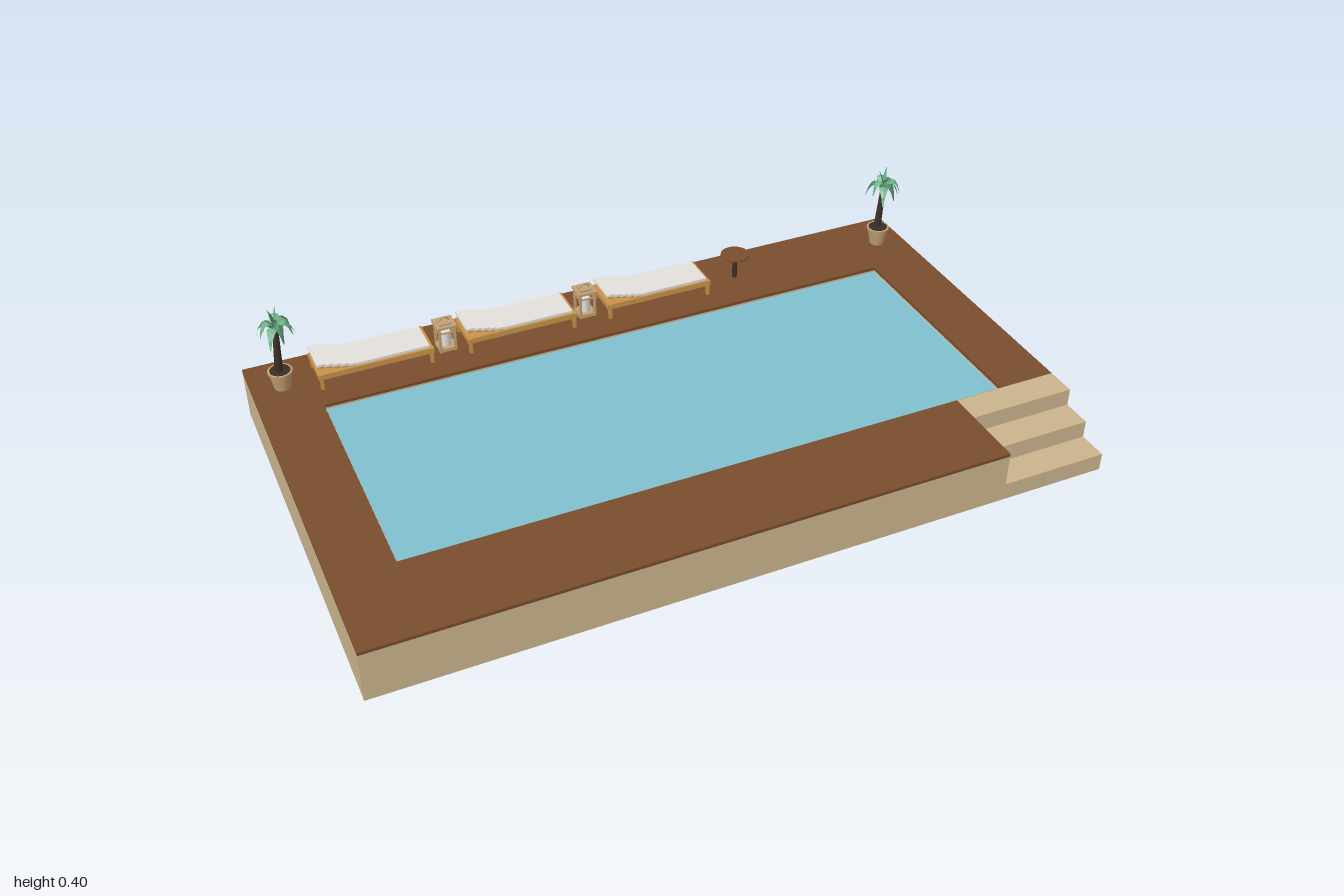
import * as THREE from 'three';

const mat = (name, color, extra = {}) => Object.assign(new THREE.MeshStandardMaterial({ color, ...extra }), { name });
const M = {
  stone: mat('sandstone', 0xcbb48d),
  deck: mat('deck brown', 0x794d2d),
  water: mat('pool water', 0x80bfcf),
  liner: mat('pool liner', 0xc0e0e6),
  wood: mat('honey wood', 0xc8924a),
  tan: mat('pale tan', 0xc2a076),
  cushion: mat('cushion white', 0xe3dfdb),
  dark: mat('dark brown', 0x3a2f27),
  leaf: mat('leaf green', 0x6cb088, { side: THREE.DoubleSide }),
  leafDark: mat('dark leaf green', 0x4c8562, { side: THREE.DoubleSide }),
};
M.leaf.flatShading = M.leafDark.flatShading = true;

function add(parent, name, geometry, material, x = 0, y = 0, z = 0) {
  const mesh = new THREE.Mesh(geometry, material);
  mesh.name = name;
  mesh.position.set(x, y, z);
  parent.add(mesh);
  return mesh;
}
const box = (parent, name, material, w, h, d, x, y, z) =>
  add(parent, name, new THREE.BoxGeometry(w, h, d), material, x, y, z);
const group = (parent, name, x, y, z) => {
  const g = new THREE.Group();
  g.name = name;
  g.position.set(x, y, z);
  parent.add(g);
  return g;
};

const TOP = 0.15, HALF = 0.583, STEP_X = 0.698, STEP_Z = 0.334, POOL_X = 0.836, POOL_Z = 0.3335;

// Flat slab with the pool opening and the notch for the stairs
function slab(depth) {
  const outline = [[-1, -HALF], [1, -HALF], [1, STEP_Z], [STEP_X, STEP_Z], [STEP_X, HALF], [-1, HALF]];
  const hole = [[-POOL_X, -POOL_Z], [-POOL_X, POOL_Z], [POOL_X, POOL_Z], [POOL_X, -POOL_Z]];
  const shape = new THREE.Shape(outline.map(p => new THREE.Vector2(...p)));
  shape.holes.push(new THREE.Path(hole.map(p => new THREE.Vector2(...p))));
  return new THREE.ExtrudeGeometry(shape, { depth, bevelEnabled: false }).rotateX(Math.PI / 2);
}

// Sun lounger with its head towards -x
function lounger(parent, x) {
  const g = group(parent, 'lounger', x, TOP, -0.462);
  for (const s of [-1, 1]) {
    box(g, 'sideRail', M.wood, 0.322, 0.016, 0.007, 0, 0.038, s * 0.055);
    box(g, 'endRail', M.wood, 0.009, 0.014, 0.11, s * 0.1555, 0.038, 0);
    for (const e of [-1, 1]) box(g, 'leg', M.wood, 0.009, 0.046, 0.009, e * 0.153, 0.023, s * 0.056);
  }
  box(g, 'slatBed', M.wood, 0.306, 0.006, 0.104, 0, 0.041, 0);
  box(g, 'mattress', M.cushion, 0.205, 0.009, 0.102, 0.048, 0.0485, 0);
  // Stepped planks of the raised backrest
  for (let i = 0; i < 5; i++)
    box(g, 'backrestPad', M.cushion, 0.024, 0.007, 0.102, -0.066 - i * 0.0205, 0.051 + i * 0.0049, 0);
  for (const s of [-1, 1]) {
    const rail = box(g, 'backrestRail', M.wood, 0.108, 0.005, 0.006, -0.104, 0.054, s * 0.046);
    rail.rotation.z = -0.22;
  }
}

// Wooden lantern with a candle and a carrying handle
function lantern(parent, x) {
  const g = group(parent, 'lantern', x, TOP, -0.46);
  box(g, 'lanternBase', M.tan, 0.05, 0.01, 0.05, 0, 0.006, 0);
  box(g, 'lanternRoof', M.tan, 0.056, 0.007, 0.056, 0, 0.079, 0);
  box(g, 'lanternCap', M.tan, 0.036, 0.005, 0.036, 0, 0.085, 0);
  for (const a of [-1, 1]) for (const b of [-1, 1])
    box(g, 'lanternPost', M.tan, 0.007, 0.076, 0.007, a * 0.0215, 0.038, b * 0.0215);
  for (const a of [-1, 1]) {
    box(g, 'frontBar', M.tan, 0.04, 0.004, 0.004, 0, 0.06, a * 0.0215);
    box(g, 'sideBar', M.tan, 0.004, 0.004, 0.04, a * 0.0215, 0.06, 0);
  }
  add(g, 'candle', new THREE.CylinderGeometry(0.014, 0.014, 0.045, 16), M.cushion, 0, 0.033, 0);
  add(g, 'handle', new THREE.TorusGeometry(0.013, 0.0025, 6, 12, Math.PI), M.tan, 0, 0.086, 0);
}

// One folded frond along a curve in the (radius, height) plane
function frond(mid, tip, width) {
  const curve = new THREE.QuadraticBezierCurve(new THREE.Vector2(0, 0), new THREE.Vector2(...mid), new THREE.Vector2(...tip));
  const n = 5, pos = [], idx = [];
  for (let i = 0; i <= n; i++) {
    const t = i / n, p = curve.getPoint(t);
    const w = width * (0.15 + Math.sin(Math.PI * Math.pow(t, 0.75))) * (1 - 0.5 * t);
    pos.push(p.x, p.y - w * 0.3, -w, p.x, p.y, 0, p.x, p.y - w * 0.3, w);
    if (i < n) for (const k of [0, 1]) {
      const a = i * 3 + k;
      idx.push(a, a + 1, a + 3, a + 1, a + 4, a + 3);
    }
  }
  const geo = new THREE.BufferGeometry();
  geo.setAttribute('position', new THREE.Float32BufferAttribute(pos, 3));
  geo.setIndex(idx);
  geo.computeVertexNormals();
  return geo;
}

function palm(parent, x) {
  const g = group(parent, 'pottedPalm', x, TOP, -0.46);
  add(g, 'pot', new THREE.CylinderGeometry(0.031, 0.022, 0.05, 16), M.tan, 0, 0.025, 0);
  add(g, 'potRim', new THREE.CylinderGeometry(0.034, 0.033, 0.007, 16), M.tan, 0, 0.051, 0);
  add(g, 'soil', new THREE.CylinderGeometry(0.028, 0.028, 0.002, 16), M.dark, 0, 0.0545, 0);
  // Trunk leaning slightly
  const trunk = add(g, 'trunk', new THREE.CylinderGeometry(0.0075, 0.0115, 0.136, 10), M.dark, 0.002, 0.12, 0);
  trunk.rotation.z = -0.07;
  const crown = group(g, 'crown', 0.007, 0.185, 0);
  for (let i = 0; i < 9; i++) {
    const r = 0.052 + 0.005 * Math.sin(i * 2.3), lift = 0.012 * (i % 3);
    const leaf = add(crown, 'frond', frond([r * 0.6, 0.045 + lift], [r, -0.032 + lift], 0.015),
      i % 3 === 1 ? M.leafDark : M.leaf);
    leaf.rotation.y = i * Math.PI * 2 / 9;
  }
  for (let i = 0; i < 3; i++) {
    const leaf = add(crown, 'youngFrond', frond([0.002, 0.035], [0.008 + 0.008 * i, 0.068 - 0.012 * i], 0.009),
      i % 2 ? M.leafDark : M.leaf);
    leaf.rotation.y = 0.4 + i * 2.1;
  }
}

export function createModel() {
  const model = new THREE.Group();
  model.name = 'poolTerrace';

  // Terrace body, deck and pool with a pale liner edge
  add(model, 'terraceBody', slab(0.141), M.stone, 0, 0.141, 0);
  add(model, 'deck', slab(0.009), M.deck, 0, TOP, 0);
  box(model, 'poolLiner', M.liner, POOL_X * 2, 0.136, POOL_Z * 2, 0, 0.068, 0);
  box(model, 'water', M.water, POOL_X * 2 - 0.008, 0.004, POOL_Z * 2 - 0.008, 0, 0.137, 0);

  // Corner stairs
  const d = (HALF - STEP_Z) / 3;
  for (let i = 0; i < 3; i++) {
    const h = 0.05 * (3 - i);
    box(model, 'stair', M.stone, 1 - STEP_X, h, d, (1 + STEP_X) / 2, h / 2, STEP_Z + d * (i + 0.5));
  }

  // Furniture along the back
  for (const x of [-0.668, -0.251, 0.165]) lounger(model, x);
  for (const x of [-0.459, -0.044]) lantern(model, x);
  const table = group(model, 'roundTable', 0.432, TOP, -0.46);
  add(table, 'tableTop', new THREE.CylinderGeometry(0.042, 0.042, 0.004, 32), M.deck, 0, 0.076, 0);
  add(table, 'tableStem', new THREE.CylinderGeometry(0.007, 0.007, 0.074, 12), M.dark, 0, 0.037, 0);

  for (const x of [-0.917, 0.917]) palm(model, x);
  return model;
}
